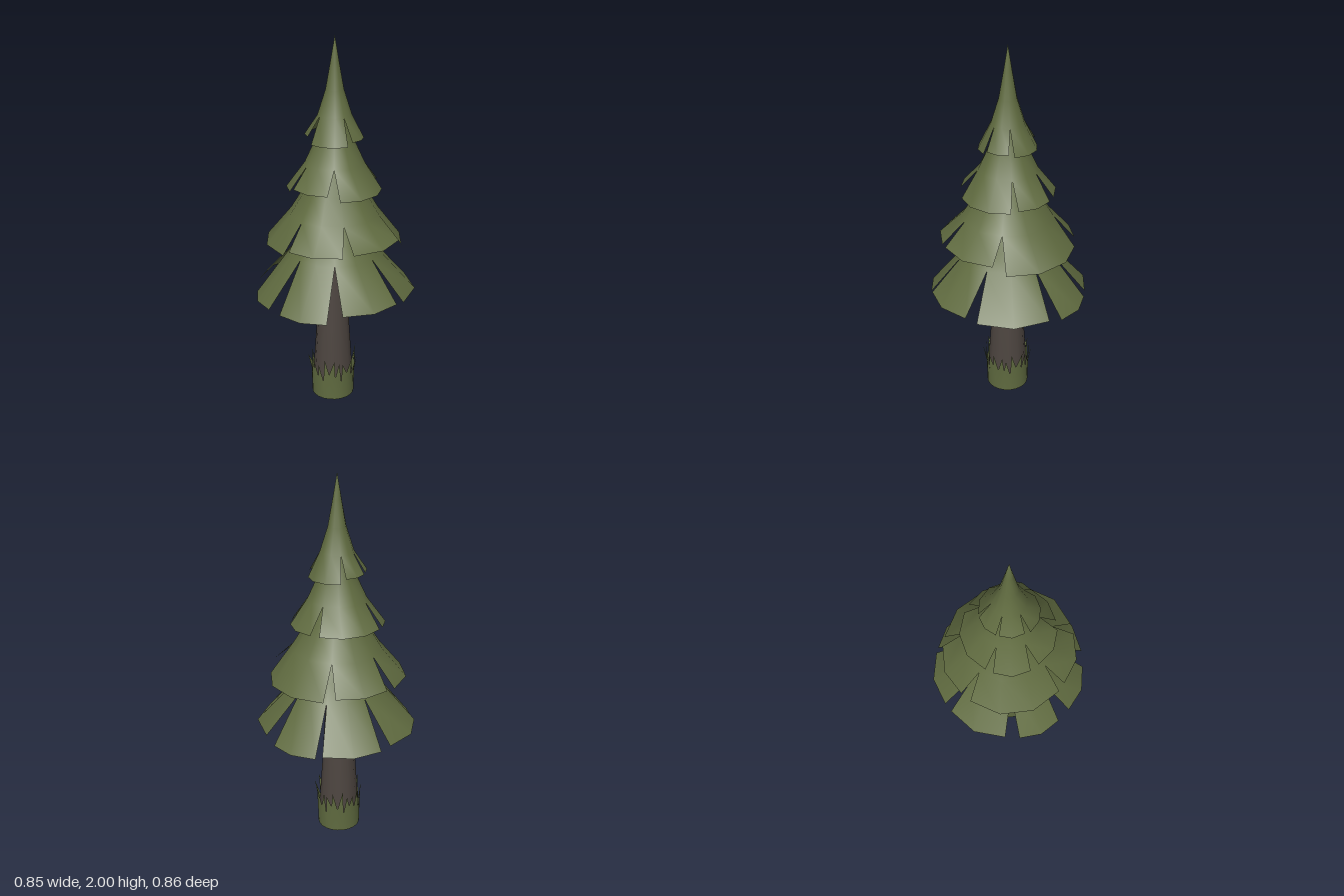
import * as THREE from 'three';
import { mergeVertices } from 'three/addons/utils/BufferGeometryUtils.js';

const TAU = Math.PI * 2;

// Smooth indexed geometry from loose triangle corners
function smoothGeometry(points) {
  const geo = new THREE.BufferGeometry();
  geo.setAttribute('position', new THREE.Float32BufferAttribute(points.flat(), 3));
  const merged = mergeVertices(geo, 1e-4);
  merged.computeVertexNormals();
  return merged;
}

const polar = (a, r, y) => [r * Math.cos(a), y, r * Math.sin(a)];

// One tier: a cone of rings [radius, y] that splits into flaps below its last ring.
// Each flap is [start degrees, end degrees, rim height]
function tierGeometry(rings, rimRadius, flaps) {
  // middle of the slit before each flap
  const slit = i => {
    const turn = i === flaps.length ? 360 : 0;
    const next = flaps[i % flaps.length][0] + turn;
    const previous = i ? flaps[i - 1][1] : flaps.at(-1)[1] - 360;
    return (previous + next) / 2;
  };
  const out = [];
  flaps.forEach(([start, end, rimY], i) => {
    const segments = end - start > 65 ? 3 : 2;
    const columns = [];
    for (let j = 0; j <= segments; j++) {
      const t = j / segments;
      const top = THREE.MathUtils.degToRad(THREE.MathUtils.lerp(slit(i), slit(i + 1), t));
      const rim = THREE.MathUtils.degToRad(THREE.MathUtils.lerp(start, end, t));
      const r = rimRadius * (j === 0 || j === segments ? 0.98 : 1.01);
      columns.push([...rings.map(([ringR, y]) => polar(top, ringR, y)), polar(rim, r, rimY)]);
    }
    for (let j = 0; j < segments; j++) {
      const A = columns[j], B = columns[j + 1];
      for (let k = 0; k < rings.length; k++) {
        if (rings[k][0] > 0) out.push(A[k], B[k], A[k + 1]);
        out.push(B[k], B[k + 1], A[k + 1]);
      }
    }
  });
  return smoothGeometry(out);
}

// Band around the foot with pointed blades of uneven height leaning outward
function grassGeometry() {
  const count = 22, out = [];
  const valley = k => 0.135 + 0.025 * Math.sin((k % count) * 2.1);
  for (let i = 0; i < count; i++) {
    const a0 = i / count * TAU, a1 = (i + 1) / count * TAU;
    const lean = i % 3 === 0 ? 0.142 : 0.125;
    const tipY = 0.2 + 0.055 * Math.abs(Math.sin(i * 2.3 + 1.2));
    const tip = polar((a0 + a1) / 2 + 0.1 * Math.sin(i * 1.7), lean, tipY);
    const b0 = polar(a0, 0.116, 0), b1 = polar(a1, 0.116, 0);
    const v0 = polar(a0, 0.119, valley(i)), v1 = polar(a1, 0.119, valley(i + 1));
    out.push(v0, v1, b0, v1, b1, b0, tip, v1, v0);
  }
  return smoothGeometry(out);
}

export function createModel() {
  const needles = new THREE.MeshStandardMaterial({ color: 0x606b40, side: THREE.DoubleSide });
  needles.name = 'needle green';
  const bark = new THREE.MeshStandardMaterial({ color: 0x4d4540 });
  bark.name = 'bark brown';

  const tree = new THREE.Group();
  tree.name = 'pineTree';
  const add = (name, geometry, material, parent = tree) => {
    const mesh = new THREE.Mesh(geometry, material);
    mesh.name = name;
    parent.add(mesh);
    return mesh;
  };

  // Branch tiers from the ground up
  add('bottomBranches', tierGeometry([[0.12, 1.08], [0.19, 0.95], [0.24, 0.86]], 0.429, [
    [-103, -67, 0.625], [-56, -3, 0.65], [6, 50, 0.665], [61, 98, 0.62],
    [110, 143, 0.62], [154, 201, 0.655], [209, 252, 0.64]]), needles);
  add('lowerMiddleBranches', tierGeometry([[0.1, 1.35], [0.16, 1.21], [0.24, 1.08]], 0.364, [
    [-107, -24, 0.915], [-13, 40, 0.965], [49, 96, 0.955], [103, 186, 0.925],
    [196, 243, 0.935]]), needles);
  add('upperMiddleBranches', tierGeometry([[0.055, 1.6], [0.1, 1.47], [0.155, 1.35]], 0.251, [
    [-180, -97, 1.22], [-85, -38, 1.22], [-29, 49, 1.21], [64, 114, 1.24],
    [125, 170, 1.215]]), needles);
  add('topBranches', tierGeometry([[0, 2], [0.022, 1.87], [0.047, 1.73], [0.088, 1.6]], 0.153, [
    [-126, -38, 1.47], [-27, 19, 1.485], [29, 108, 1.465], [121, 170, 1.5],
    [176, 224, 1.495]]), needles);

  // Tapering trunk with flat ends and grass at its foot
  const foot = new THREE.Group();
  foot.name = 'trunkAndGrass';
  foot.position.set(-0.007, 0, 0.007);
  tree.add(foot);
  const profile = [[0.112, 0], [0.104, 0.2], [0.091, 0.4], [0.08, 0.6], [0.07, 0.75]];
  add('trunk', new THREE.LatheGeometry(profile.map(p => new THREE.Vector2(...p)), 12), bark, foot);
  add('trunkBase', new THREE.CircleGeometry(0.112, 12).rotateX(Math.PI / 2), bark, foot);
  add('trunkTop', new THREE.CircleGeometry(0.07, 12).rotateX(-Math.PI / 2), bark, foot).position.y = 0.75;
  add('grass', grassGeometry(), needles, foot);

  return tree;
}
